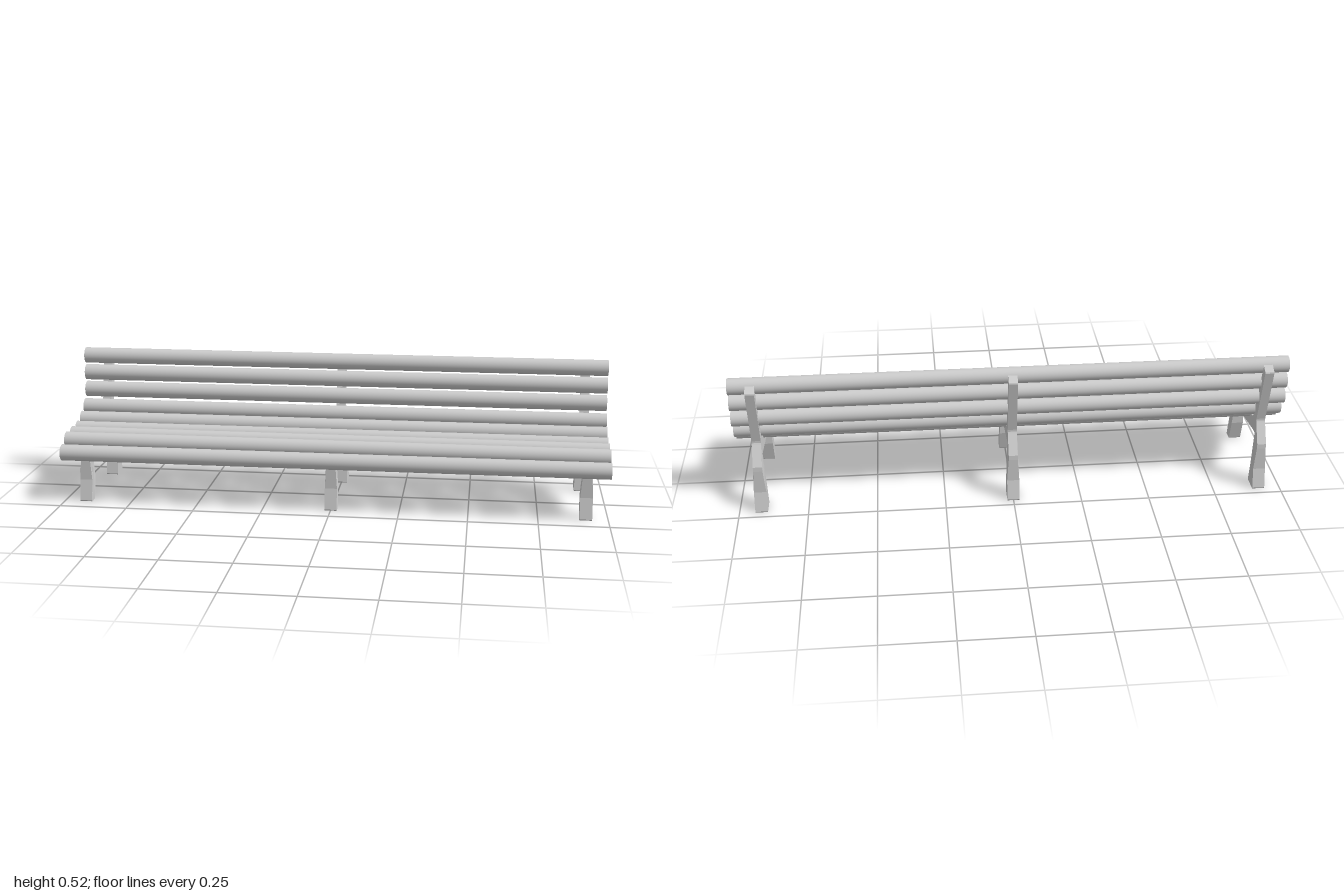
import * as THREE from 'three';

// Side outline of the cast frame as [z, y]
const OUTLINE = [
  [0.186, 0], [0.152, 0], [0.149, 0.004], [0.131, 0.08], [0.131, 0.157], [0.129, 0.163], [0.122, 0.167], // front leg
  [-0.135, 0.205], [-0.15, 0.205], [-0.155, 0.201], [-0.159, 0.165], [-0.165, 0.08], [-0.154, 0.004], [-0.157, 0], // seat underside
  [-0.22, 0], [-0.222, 0.004], [-0.205, 0.077], [-0.205, 0.165], [-0.204, 0.182], // back leg
  [-0.163, 0.252], [-0.16, 0.258], [-0.16, 0.266], [-0.206, 0.478], [-0.204, 0.483], [-0.176, 0.499], // back post
  [-0.168, 0.448], [-0.119, 0.262], [-0.115, 0.254], [-0.087, 0.246], // backrest front
  [0.168, 0.194], [0.172, 0.19], [0.172, 0.165], [0.172, 0.08], [0.188, 0.004], // seat top, front leg
];

// Centres of the round slats as [z, y], front to top
const SLATS = [
  [0.195, 0.19], [0.137, 0.223], [0.071, 0.226], [0.005, 0.23], [-0.056, 0.254],
  [-0.108, 0.292], [-0.141, 0.354], [-0.146, 0.42], [-0.15, 0.486],
];

function frameGeometry() {
  const shape = new THREE.Shape(OUTLINE.map(([z, y]) => new THREE.Vector2(z, y)));
  const geo = new THREE.ExtrudeGeometry(shape, { depth: 1, bevelEnabled: false });
  geo.translate(0, 0, -0.5).rotateY(-Math.PI / 2);
  // Legs are thicker than the upper frame
  const pos = geo.attributes.position;
  for (let i = 0; i < pos.count; i++) {
    const t = THREE.MathUtils.clamp((pos.getY(i) - 0.08) / 0.085, 0, 1);
    pos.setX(i, pos.getX(i) * THREE.MathUtils.lerp(0.045, 0.033, t));
  }
  geo.computeVertexNormals();
  return geo;
}

export function createModel() {
  const model = new THREE.Group();
  model.name = 'bench';
  const material = new THREE.MeshStandardMaterial({ color: 0xcccccc });

  // Three supporting frames
  const frameGeo = frameGeometry();
  ['rightFrame', 'middleFrame', 'leftFrame'].forEach((name, i) => {
    const frame = new THREE.Mesh(frameGeo, material);
    frame.name = name;
    frame.position.x = (i - 1) * 0.92;
    model.add(frame);
  });

  // Round slats of seat and backrest
  const slatGeo = new THREE.CylinderGeometry(0.0298, 0.0298, 2, 40).rotateZ(Math.PI / 2);
  SLATS.forEach(([z, y], i) => {
    const slat = new THREE.Mesh(slatGeo, material);
    slat.name = i < 5 ? `seatSlat${i + 1}` : `backSlat${i - 4}`;
    slat.position.set(0, y, z);
    model.add(slat);
  });

  return model;
}
